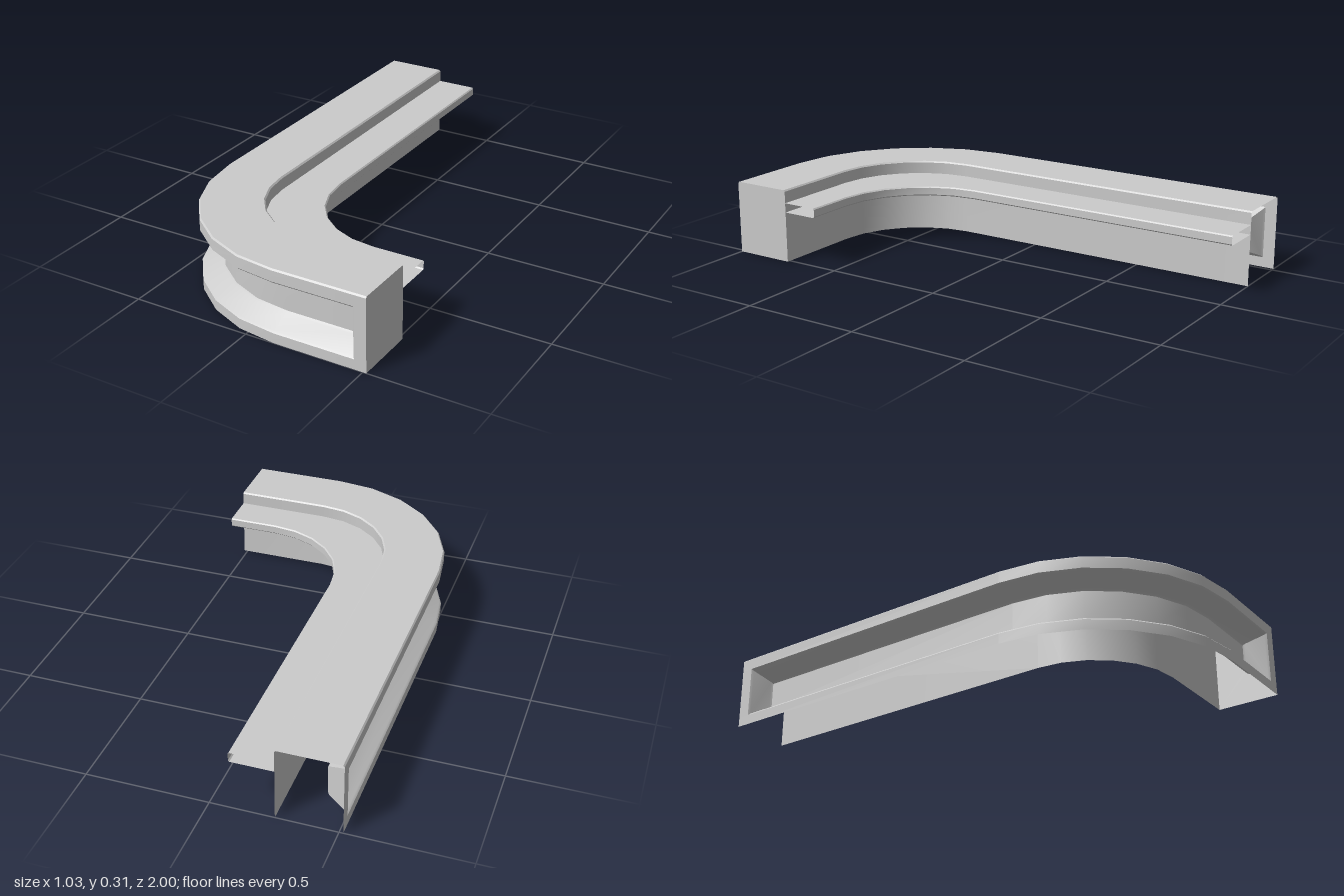
import * as THREE from 'three';
import { toCreasedNormals } from 'three/addons/utils/BufferGeometryUtils.js';

const START = -1, END = 0.515, ARC = 6;
const OUT = { cx: 0.124, cz: 0.36, r: 0.64 };    // front face of the counter
const EDGE = { cx: 0.305, cz: 0.2, r: 0.385 };   // free edge of the work shelf
const DEPTH = 0.26, HEIGHT = 0.31;
const material = new THREE.MeshStandardMaterial({ color: 0xcccccc, side: THREE.DoubleSide });

// L-shaped line with a rounded corner: straight, quarter arc, straight
function line({ cx, cz, r }, d, y, start, end) {
  const q = r - d, pts = [[cx - q, y, start]];
  for (let i = 0; i <= ARC; i++) {
    const a = (i / ARC) * Math.PI / 2;
    pts.push([cx - q * Math.cos(a), y, cz + q * Math.sin(a)]);
  }
  pts.push([end, y, cz + q]);
  return pts;
}

// Skin a list of lines; closeEnds joins mirrored rows across both ends
function skin(rows, closeEnds = false) {
  const n = rows[0].length, index = [];
  const quad = (a, b, c, d) => index.push(a, b, c, a, c, d);
  for (let j = 0; j < rows.length - 1; j++)
    for (let i = 0; i < n - 1; i++)
      quad(j * n + i, j * n + i + 1, (j + 1) * n + i + 1, (j + 1) * n + i);
  if (closeEnds) {
    const m = rows.length;
    for (let j = 0; j < m / 2 - 1; j++) {
      const [b0, b1, t1, t0] = [j, j + 1, m - 2 - j, m - 1 - j].map(k => k * n);
      const e = n - 1;
      quad(b0, b1, t1, t0);
      quad(b0 + e, t0 + e, t1 + e, b1 + e);
    }
  }
  const geo = new THREE.BufferGeometry();
  geo.setAttribute('position', new THREE.Float32BufferAttribute(rows.flat(2), 3));
  geo.setIndex(index);
  return toCreasedNormals(geo, 0.5);
}

export function createModel() {
  const group = new THREE.Group();
  const add = (name, geo) => {
    const mesh = new THREE.Mesh(geo, material);
    mesh.name = name;
    group.add(mesh);
    return mesh;
  };
  const outer = ([d, y]) => line(OUT, d, y, START, END);

  // Plinth strip below the recess
  const low = 0.042, high = 0.258;
  add('plinth', skin([[0, 0], [0, low]].map(outer)));

  // Counter top with softened edges, running down into the rear wall
  const top = [[0, high], [0, 0.304], [0.006, HEIGHT], [DEPTH - 0.006, HEIGHT], [DEPTH, 0.304], [DEPTH, 0]];
  add('counterTopAndRearWall', skin(top.map(outer)));

  // Recessed front panel with sloping borders: depth, height, end inset
  const a = -0.95, b = 0.465;
  const half = [[0, low, 0], [0.008, 0.05, 0.007], [0.083, 0.084, 0.04], [0.09, 0.092, 0.046]];
  const recess = [...half, ...half.map(([d, y, s]) => [d, low + high - y, s]).reverse()];
  add('frontRecess', skin(recess.map(([d, y, s]) => line(OUT, d, y, a + s, b - s)), true));

  // Upright frame strips at both ends of the recess
  const backPost = add('backPost', new THREE.PlaneGeometry(a - START, high - low));
  backPost.rotation.y = -Math.PI / 2;
  backPost.position.set(OUT.cx - OUT.r, (low + high) / 2, (START + a) / 2);
  const sidePost = add('sidePost', new THREE.PlaneGeometry(END - b, high - low));
  sidePost.position.set((b + END) / 2, (low + high) / 2, OUT.cz + OUT.r);

  // Closed end of the short arm
  const zFront = OUT.cz + OUT.r;
  const endShape = new THREE.Shape([[0, 0], ...top].map(([d, y]) => new THREE.Vector2(d - zFront, y)));
  const endPanel = add('endPanel', new THREE.ShapeGeometry(endShape));
  endPanel.rotation.y = Math.PI / 2;
  endPanel.position.x = END;

  // Hollow work shelf between the rear wall and its own curved edge
  const edge = (d, y) => line(EDGE, d, y, START, END);
  add('workShelf', skin([
    outer([DEPTH, 0.255]), edge(-0.005, 0.255), edge(0, 0.25),
    edge(0, 0.22), edge(-0.005, 0.215), outer([DEPTH, 0.215]),
  ]));

  return group;
}
